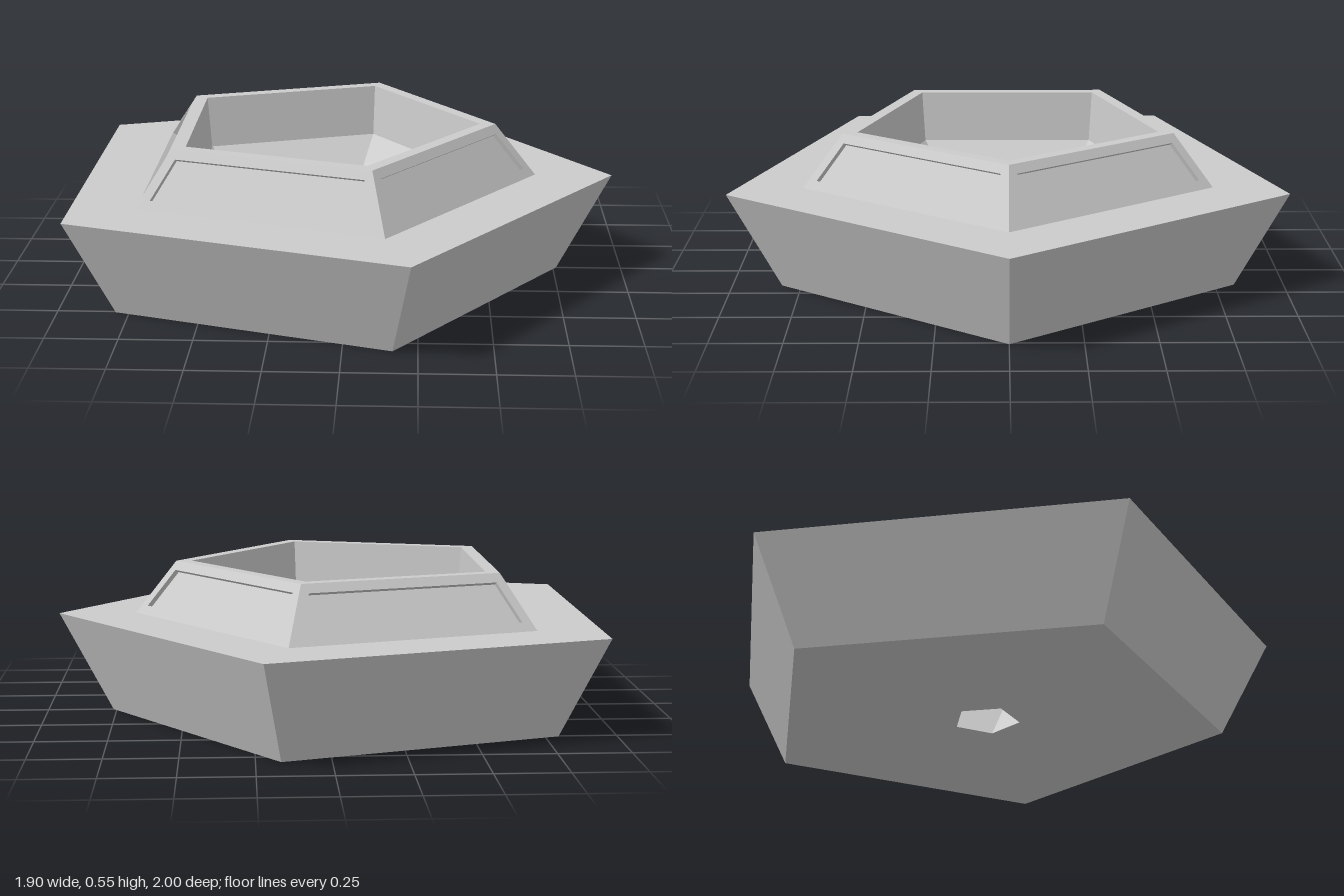
import * as THREE from 'three';

const SIDES = 5;
const CENTRE_X = -0.1;
const STEP = (2 * Math.PI) / SIDES;
const HALF = Math.PI / SIDES;

// collar slope: corner radius and height at its foot and its rim
const FOOT = { r: 0.773, y: 0.36 };
const RIM = { r: 0.624, y: 0.55 };

const material = new THREE.MeshStandardMaterial({ color: 0xcccccc, flatShading: true });

function makeMesh(name, geometry) {
  const mesh = new THREE.Mesh(geometry, material);
  mesh.name = name;
  return mesh;
}

// five-sided ring turned from a [radius, height] profile, one corner on +x
function pentagonRing(name, profile) {
  const points = profile.map(([r, y]) => new THREE.Vector2(r, y));
  const geometry = new THREE.LatheGeometry(points, SIDES, Math.PI / 2).toNonIndexed();
  geometry.computeVertexNormals();
  return makeMesh(name, geometry);
}

// flat-shaded geometry from four-cornered faces (counter-clockwise from outside)
function fromQuads(quads) {
  const points = quads.flatMap(([a, b, c, d]) => [a, b, c, a, c, d]);
  const geometry = new THREE.BufferGeometry().setFromPoints(points);
  geometry.computeVertexNormals();
  return geometry;
}

// trapezoid on the collar slope facing +z, between two heights, inset at the ends
function slopeCorners(y0, y1, inset) {
  const corner = (y, side) => {
    const r = THREE.MathUtils.mapLinear(y, FOOT.y, RIM.y, FOOT.r, RIM.r);
    return new THREE.Vector3(side * (r * Math.sin(HALF) - inset), y, r * Math.cos(HALF));
  };
  return [corner(y0, -1), corner(y0, 1), corner(y1, 1), corner(y1, -1)];
}

// one collar side: raised frame, recess walls and sunken panel
function collarSide() {
  const outer = slopeCorners(FOOT.y, RIM.y, 0);
  const inner = slopeCorners(0.39, 0.52, 0.035);
  const run = (FOOT.r - RIM.r) * Math.cos(HALF);
  const normal = new THREE.Vector3(0, run, RIM.y - FOOT.y).normalize();
  const sunk = inner.map((p) => p.clone().addScaledVector(normal, -0.017));

  const frame = [];
  for (let i = 0; i < 4; i++) {
    const j = (i + 1) % 4;
    frame.push([outer[i], outer[j], inner[j], inner[i]]);
    frame.push([inner[i], inner[j], sunk[j], sunk[i]]);
  }
  const side = new THREE.Group();
  side.add(makeMesh('collarFrame', fromQuads(frame)));
  side.add(makeMesh('sunkenPanel', fromQuads([sunk])));
  return side;
}

export function createModel() {
  const model = new THREE.Group();
  model.name = 'pentagonBasin';
  model.position.x = 0;

  const basin = new THREE.Group();
  basin.name = 'basin';
  basin.position.x = CENTRE_X;
  model.add(basin);

  // flared base with a drain hole underneath and a flat ledge on top
  basin.add(pentagonRing('base', [[0.12, 0], [0.862, 0], [1.0515, 0.36], [FOOT.r, FOOT.y]]));

  // rim, steep inner wall and funnel down to the drain hole
  basin.add(pentagonRing('rim', [[RIM.r, RIM.y], [0.568, RIM.y]]));
  basin.add(pentagonRing('innerWall', [[0.568, RIM.y], [0.55, 0.36]]));
  basin.add(pentagonRing('funnel', [[0.55, 0.36], [0.12, 0]]));

  // sloping collar with a recessed panel on each side
  for (let i = 0; i < SIDES; i++) {
    const side = collarSide();
    side.name = 'collarSide';
    side.rotation.y = Math.PI / 2 + HALF + i * STEP;
    basin.add(side);
  }
  return model;
}
